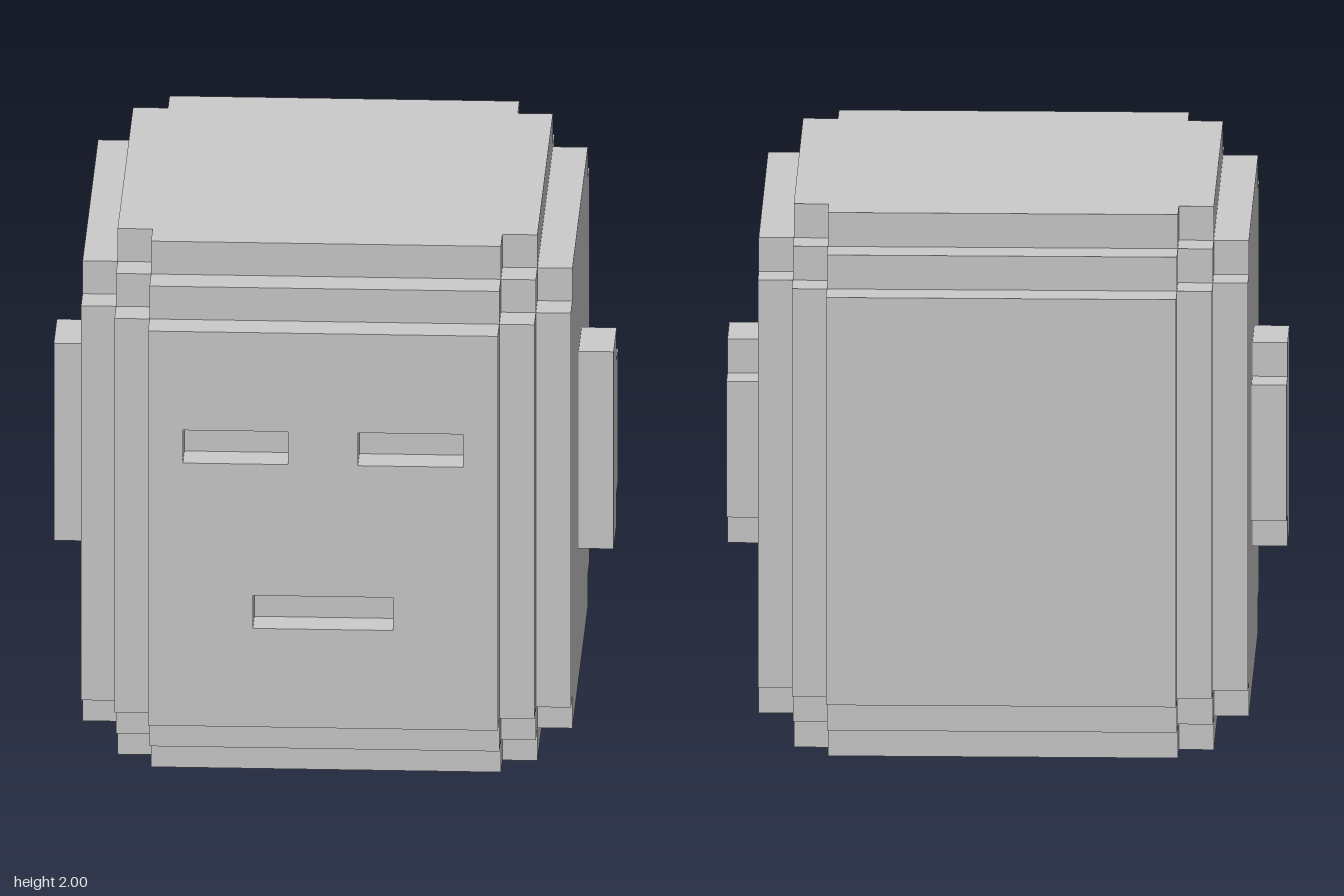
import * as THREE from 'three';

const U = 0.125; // one block

// Blocky head: half sizes [x, y, z] in blocks whose union gives the stepped edges
const STEPS = [
  [5, 6, 8], [5, 7, 7], [6, 6, 7],  // front and back
  [5, 8, 6], [6, 8, 5],             // top and bottom
  [7, 7, 5], [7, 6, 6],             // sides
  [6, 7, 6],                        // corners
];
// Recesses in the face, one block deep: [x0, x1, y0, y1], y from the head's middle
const RECESSES = [[-4, -1, 2, 3], [1, 4, 2, 3], [-2, 2, -3, -2]];

function isSolid([x, y, z]) {
  if (z > 7 && RECESSES.some(([x0, x1, y0, y1]) => x > x0 && x < x1 && y > y0 && y < y1)) return false;
  return STEPS.some(([a, b, c]) => Math.abs(x) < a && Math.abs(y) < b && Math.abs(z) < c);
}

// Outer skin of the solid, on a grid that only has lines where the shape changes
function headGeometry() {
  const lines = [
    [-7, -6, -5, -4, -2, -1, 1, 2, 4, 5, 6, 7],
    [-8, -7, -6, -3, -2, 2, 3, 6, 7, 8],
    [-8, -7, -6, -5, 5, 6, 7, 8],
  ];
  const positions = [];
  const mid = (axis, i) => (lines[axis][i] + lines[axis][i + 1]) / 2;
  for (let i = 0; i < lines[0].length - 1; i++)
    for (let j = 0; j < lines[1].length - 1; j++)
      for (let k = 0; k < lines[2].length - 1; k++) {
        const cell = [i, j, k];
        const centre = cell.map((n, axis) => mid(axis, n));
        if (!isSolid(centre)) continue;
        for (let a = 0; a < 3; a++)
          for (const side of [0, 1]) {
            const b = (a + 1) % 3, c = (a + 2) % 3;
            const beyond = [...centre];
            beyond[a] = lines[a][cell[a] + side] + (side ? 0.5 : -0.5);
            if (isSolid(beyond)) continue;
            const corner = (s, t) => {
              const p = [];
              p[a] = lines[a][cell[a] + side] * U;
              p[b] = lines[b][cell[b] + s] * U;
              p[c] = lines[c][cell[c] + t] * U;
              return p;
            };
            const q = [corner(0, 0), corner(1, 0), corner(1, 1), corner(0, 1)];
            if (!side) q.reverse();
            for (const n of [0, 1, 2, 0, 2, 3]) positions.push(...q[n]);
          }
      }
  const geometry = new THREE.BufferGeometry();
  geometry.setAttribute('position', new THREE.Float32BufferAttribute(positions, 3));
  geometry.computeVertexNormals();
  return geometry;
}

// Ear outline seen from the side, with a shorter step at the back
function earGeometry() {
  const outline = [[-1, -3], [1, -3], [1, -2], [2, -2], [2, 2], [1, 2], [1, 3], [-1, 3]];
  const shape = new THREE.Shape(outline.map(([u, v]) => new THREE.Vector2(u * U, v * U)));
  return new THREE.ExtrudeGeometry(shape, { depth: U, bevelEnabled: false }).rotateY(Math.PI / 2);
}

export function createModel() {
  const model = new THREE.Group();
  model.name = 'blockHead';
  const material = new THREE.MeshStandardMaterial({ color: 0xcccccc, flatShading: true });

  const add = (name, geometry, x) => {
    const mesh = new THREE.Mesh(geometry, material);
    mesh.name = name;
    mesh.position.set(x, 1, 0);
    model.add(mesh);
  };

  add('head', headGeometry(), 0);
  const ear = earGeometry();
  add('leftEar', ear, 7 * U);
  add('rightEar', ear, -8 * U);
  return model;
}
